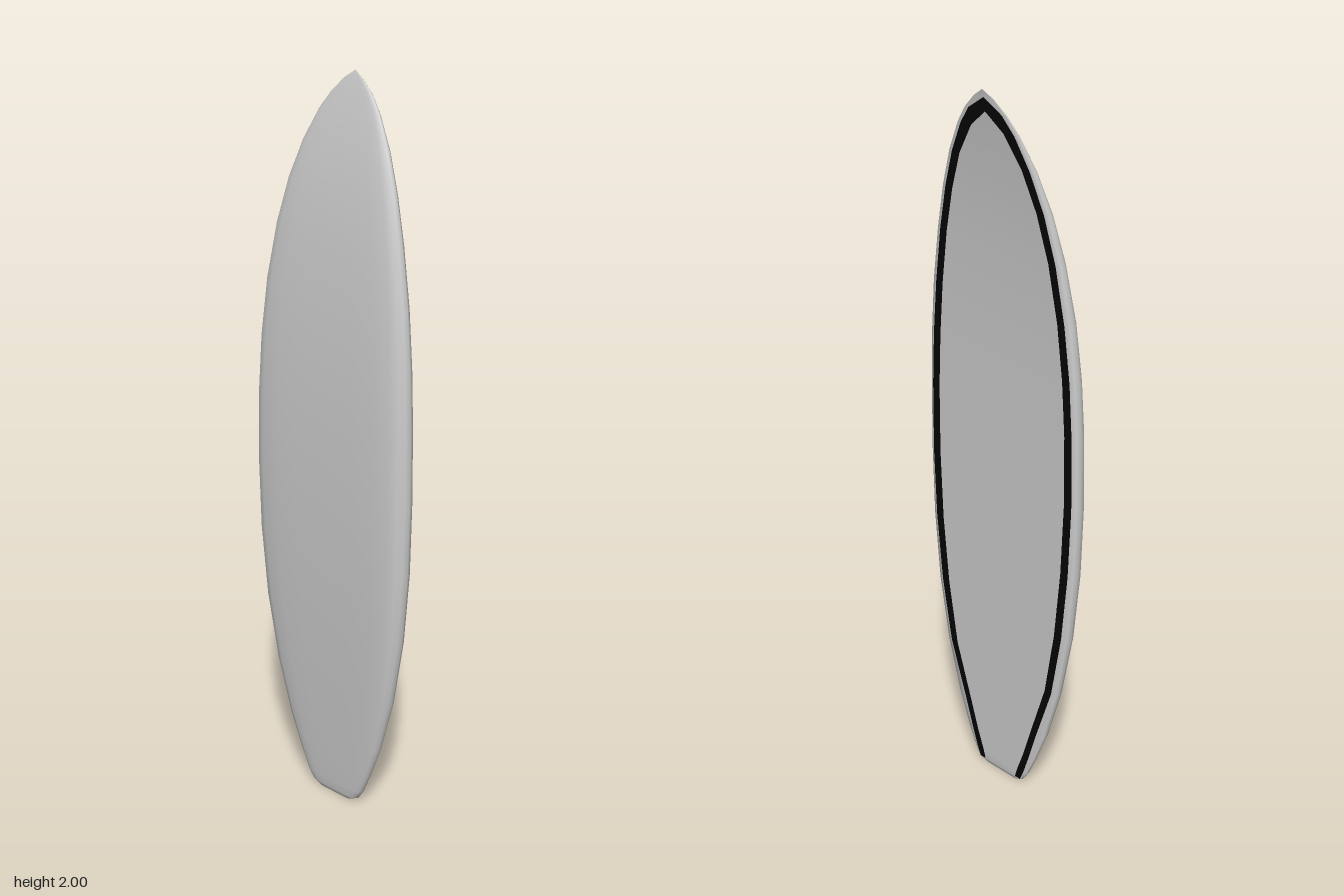
import * as THREE from 'three';

// Stations up the board: height, half width, stripe outer edge, stripe inner edge, deck x, belly x
const STATIONS = [
  [0.0, 0.062, 0.055, 0.04, -0.004, -0.019],
  [0.012, 0.086, 0.08, 0.06, 0, -0.023],
  [0.04, 0.104, 0.092, 0.068, 0, -0.026],
  [0.1, 0.131, 0.112, 0.09, 0, -0.03],
  [0.2, 0.17, 0.143, 0.121, 0, -0.036],
  [0.36, 0.215, 0.196, 0.172, 0, -0.045],
  [0.55, 0.249, 0.229, 0.203, 0, -0.054],
  [0.75, 0.267, 0.248, 0.222, 0, -0.06],
  [0.95, 0.272, 0.256, 0.23, 0, -0.062],
  [1.15, 0.269, 0.253, 0.228, 0.001, -0.059],
  [1.3, 0.261, 0.244, 0.219, 0.003, -0.053],
  [1.45, 0.245, 0.227, 0.203, 0.007, -0.043],
  [1.6, 0.217, 0.201, 0.177, 0.014, -0.028],
  [1.72, 0.185, 0.17, 0.145, 0.023, -0.01],
  [1.82, 0.147, 0.133, 0.106, 0.034, 0.01],
  [1.9, 0.104, 0.091, 0.055, 0.044, 0.03],
  [1.945, 0.07, 0.056, 0, 0.051, 0.042],
  [1.98, 0.032, 0, 0, 0.056, 0.052],
  [2.0, 0.0, 0, 0, 0.06, 0.06],
];

// Rounded rail and belly: fraction of half width, fraction of thickness below the deck
const RAIL = [[0.985, 0.1], [1, 0.32], [0.985, 0.56], [0.94, 0.78], [0.85, 0.92], [0.65, 0.985], [0.35, 1]];

// Closed cross-section: deck centre, +z side, belly centre, -z side
function section([y, w, outer, inner, deck, belly]) {
  const half = [[inner, deck], [outer, deck], ...RAIL.map(([f, t]) => [Math.max(f * w, 0), deck + (belly - deck) * t])];
  return [
    [deck, y, 0],
    ...half.map(([z, x]) => [x, y, z]),
    [belly, y, 0],
    ...half.reverse().map(([z, x]) => [x, y, -z]),
  ];
}

function boardGeometry() {
  const rings = STATIONS.map(section);
  const n = rings[0].length;
  const positions = rings.flat(2);
  const body = [], stripe = [];
  for (let r = 0; r < rings.length - 1; r++) {
    for (let i = 0; i < n; i++) {
      const a = r * n + i, b = r * n + (i + 1) % n;
      const c = b + n, d = a + n;
      // The stripe runs along both sides of the deck, clear of the tail edge
      const isStripe = r > 0 && (i === 1 || i === n - 2);
      (isStripe ? stripe : body).push(a, c, b, a, d, c);
    }
  }
  // Tail cap
  const centre = positions.length / 3;
  positions.push(-0.012, 0, 0);
  for (let i = 0; i < n; i++) body.push(centre, i, (i + 1) % n);

  const geometry = new THREE.BufferGeometry();
  geometry.setAttribute('position', new THREE.Float32BufferAttribute(positions, 3));
  geometry.setIndex([...body, ...stripe]);
  geometry.addGroup(0, body.length, 0);
  geometry.addGroup(body.length, stripe.length, 1);
  geometry.computeVertexNormals();
  return geometry;
}

export function createModel() {
  const boardGrey = new THREE.MeshStandardMaterial({ color: 0xcccccc });
  boardGrey.name = 'board grey';
  const stripeBlack = new THREE.MeshStandardMaterial({ color: 0x050505 });
  stripeBlack.name = 'stripe black';

  const model = new THREE.Group();
  model.name = 'surfboard';
  const board = new THREE.Mesh(boardGeometry(), [boardGrey, stripeBlack]);
  board.name = 'boardWithDeckStripe';
  model.add(board);
  return model;
}
